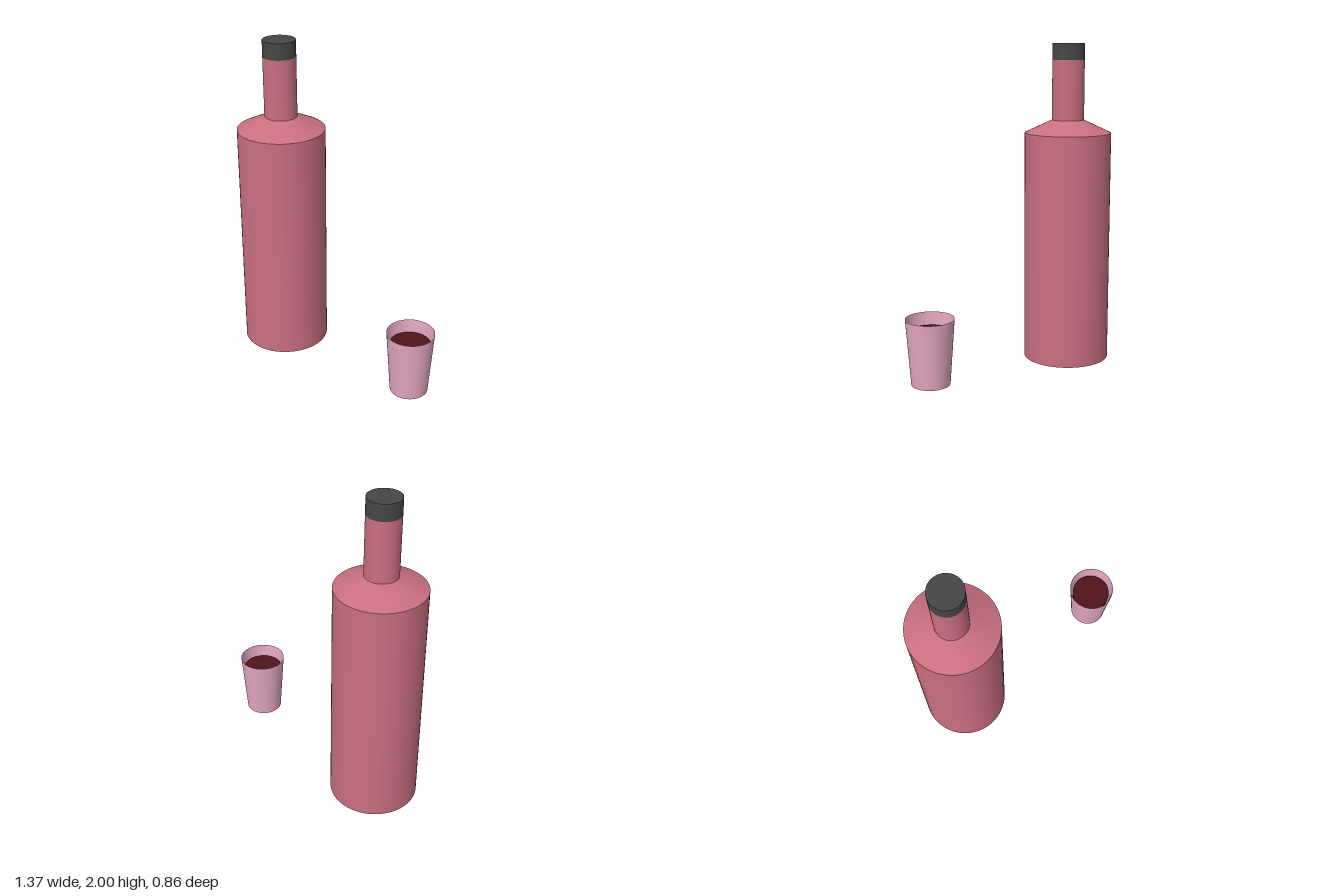
import * as THREE from 'three';

const SIDES = 64;

function material(color, side = THREE.FrontSide) {
  return new THREE.MeshStandardMaterial({ color, side });
}

// Round section between two heights, with optional end discs
function section(name, rTop, rBottom, y0, y1, mat, open = false) {
  const geo = new THREE.CylinderGeometry(rTop, rBottom, y1 - y0, SIDES, 1, open);
  const mesh = new THREE.Mesh(geo, mat);
  mesh.name = name;
  mesh.position.y = (y0 + y1) / 2;
  return mesh;
}

function disc(name, radius, y, mat) {
  const mesh = new THREE.Mesh(new THREE.CircleGeometry(radius, SIDES), mat);
  mesh.name = name;
  mesh.rotation.x = Math.PI / 2;
  mesh.position.y = y;
  return mesh;
}

function createBottle() {
  const bottle = new THREE.Group();
  bottle.name = 'bottle';
  const tinted = material(0xc96f7f);
  bottle.add(
    disc('bottleBase', 0.27, 0, tinted),
    section('bottleBody', 0.27, 0.27, 0, 1.45, tinted, true),
    section('bottleShoulder', 0.1, 0.27, 1.45, 1.53, tinted, true),
    section('bottleNeck', 0.1, 0.1, 1.53, 1.9, tinted, true),
    section('bottleCap', 0.1, 0.1, 1.9, 2, material(0x464646))
  );
  return bottle;
}

function createGlass() {
  const glass = new THREE.Group();
  glass.name = 'glass';
  const pale = material(0xe3a6c2, THREE.DoubleSide);
  glass.add(
    section('glassWall', 0.143, 0.114, 0.05, 0.445, pale, true),
    disc('glassBase', 0.114, 0.05, pale),
    // Drink, slightly narrower than the wall
    section('drink', 0.122, 0.105, 0.06, 0.37, material(0x50141b))
  );
  return glass;
}

export function createModel() {
  const model = new THREE.Group();
  model.name = 'bottleAndGlass';
  const bottle = createBottle();
  bottle.position.set(-0.415, 0, -0.16);
  const glass = createGlass();
  glass.position.set(0.542, 0, 0.287);
  model.add(bottle, glass);
  return model;
}
